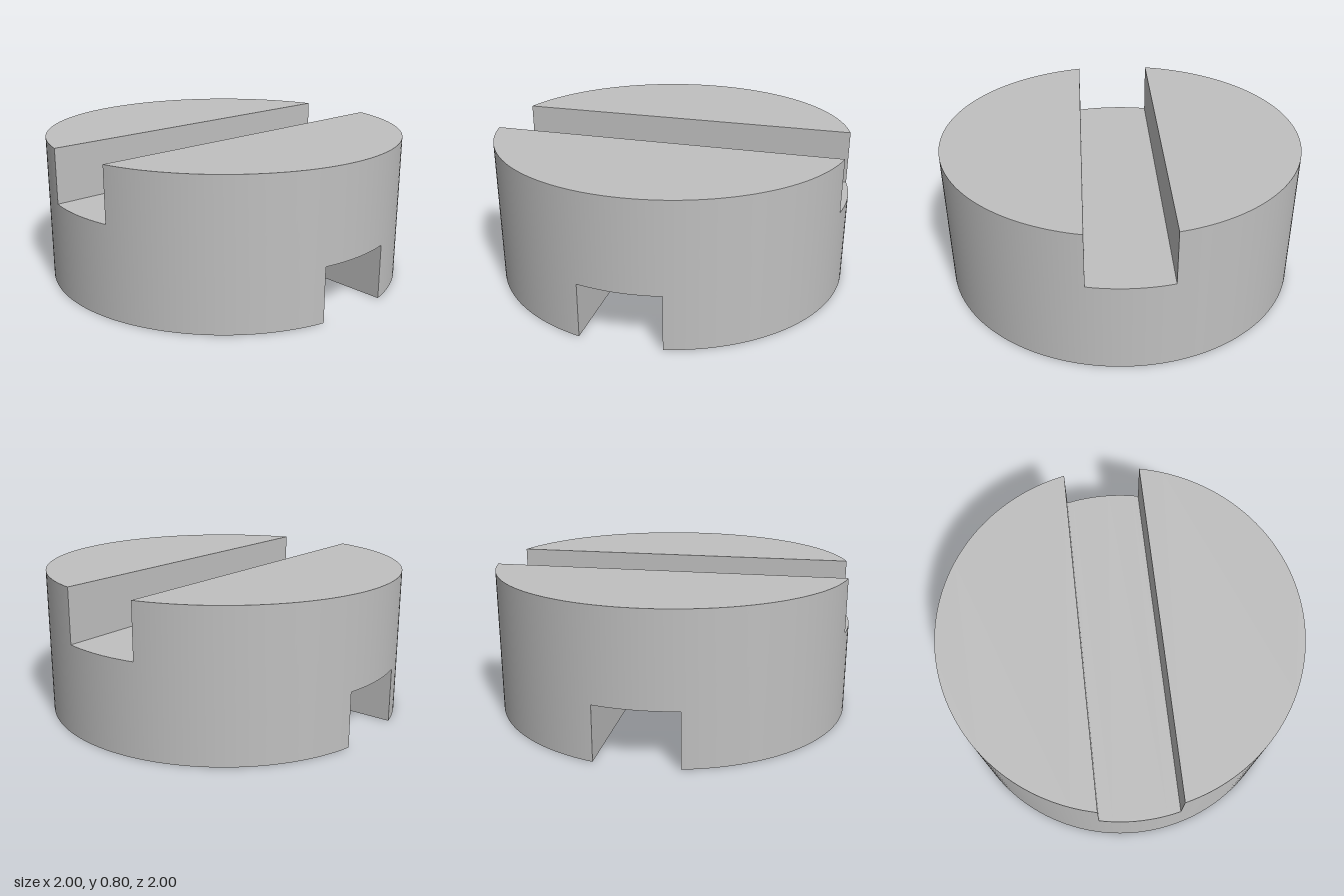
import * as THREE from 'three';

const HALF_SLOT = 0.22;  // half width of each slot
const CORE = 0.1;        // half thickness of the web between the slots
const TOP = 0.4;         // half height of the disc

// Rim points, counter-clockwise from above, with exact points at all slot corners
function makeRim() {
  const a = Math.asin(HALF_SLOT), pts = [];
  const arc = (from, to, steps) => {
    for (let i = 0; i < steps; i++) {
      const t = from + (to - from) * i / steps;
      pts.push(new THREE.Vector2(Math.cos(t), Math.sin(t)));
    }
  };
  for (let q = -2; q < 2; q++) {
    const start = q * Math.PI / 2;
    arc(start - a, start + a, 12);
    arc(start + a, start + Math.PI / 2 - a, 32);
  }
  return pts;
}

// Upright wall along a line of points; round walls get radial normals
function wall(pts, y0, y1, round) {
  const pos = [], index = [];
  pts.forEach((p, i) => {
    pos.push(p.x, y0, -p.y, p.x, y1, -p.y);
    const k = i * 2;
    if (i < pts.length - 1) index.push(k, k + 2, k + 3, k, k + 3, k + 1);
  });
  const g = new THREE.BufferGeometry();
  g.setAttribute('position', new THREE.Float32BufferAttribute(pos, 3));
  g.setIndex(index);
  g.computeVertexNormals();
  if (round) {
    const n = g.attributes.normal;
    pts.forEach((p, i) => {
      n.setXYZ(i * 2, p.x, 0, -p.y);
      n.setXYZ(i * 2 + 1, p.x, 0, -p.y);
    });
  }
  return g;
}

// Flat upward face filling an outline
function cap(pts, y) {
  return new THREE.ShapeGeometry(new THREE.Shape(pts)).rotateX(-Math.PI / 2).translate(0, y, 0);
}

export function createModel() {
  const steel = new THREE.MeshStandardMaterial({ color: 0xc0c0c0 });
  steel.name = 'grey metal';
  const rim = makeRim();
  const add = (parent, geometry, name) => {
    const mesh = new THREE.Mesh(geometry, steel);
    mesh.name = name;
    parent.add(mesh);
  };

  // One slotted face: two raised lands either side of a slot running along z
  const slottedFace = (name) => {
    const face = new THREE.Group();
    face.name = name;
    const right = rim.filter(p => p.x >= HALF_SLOT - 1e-6);
    right.sort((p, q) => p.y - q.y);
    for (const [side, sign] of [['left', 1], ['right', -1]]) {
      const land = right.map(p => p.clone().multiplyScalar(sign));
      add(face, wall(land, CORE, TOP, true), side + 'LandRim');
      add(face, wall([land[land.length - 1], land[0]], CORE, TOP, false), side + 'SlotWall');
      add(face, cap(land, TOP), side + 'LandFace');
    }
    add(face, cap(rim.filter(p => Math.abs(p.x) <= HALF_SLOT + 1e-6), CORE), 'slotFloor');
    return face;
  };

  const model = new THREE.Group();
  model.name = 'couplingDisc';
  const disc = new THREE.Group();
  disc.name = 'disc';
  disc.position.y = TOP;
  model.add(disc);

  // Solid web between the slots
  add(disc, wall([...rim, rim[0]], -CORE, CORE, true), 'coreRim');

  // Upper slot along z; lower slot is the same face flipped and turned to run along x
  disc.add(slottedFace('upperFace'));
  const lower = slottedFace('lowerFace');
  lower.rotation.set(Math.PI, Math.PI / 2, 0, 'YXZ');
  disc.add(lower);
  return model;
}
